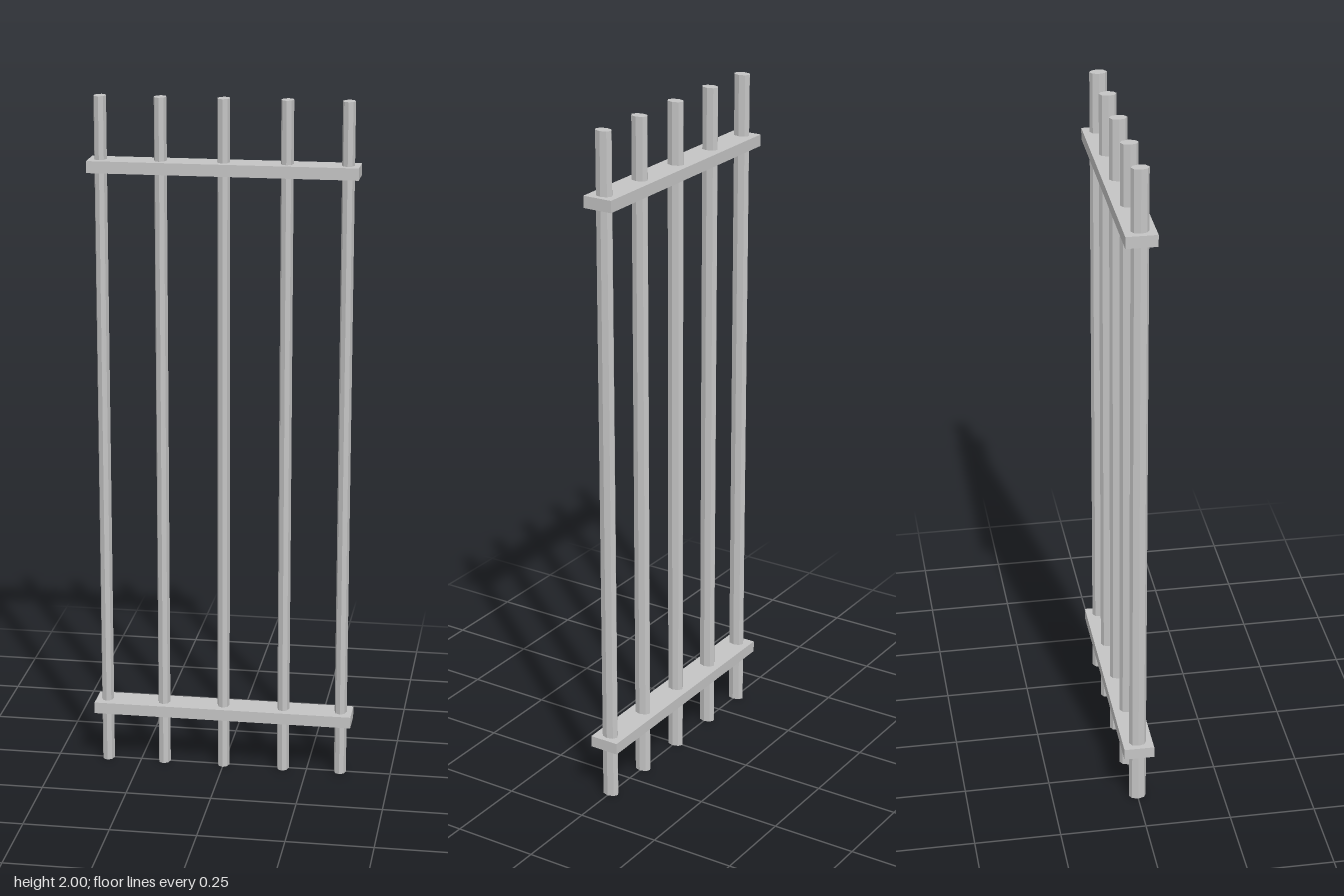
import * as THREE from 'three';

export function createModel() {
  const group = new THREE.Group();
  group.name = 'barredGrille';
  const metal = new THREE.MeshStandardMaterial({ color: 0xc4c4c4, flatShading: true });
  metal.name = 'light grey metal';

  // Upright bars: eight-sided, slightly deeper than wide
  const barGeometry = new THREE.CylinderGeometry(1, 1, 2, 8);
  barGeometry.scale(0.018, 1, 0.025);
  [-0.35, -0.179, 0, 0.179, 0.35].forEach((x, i) => {
    const bar = new THREE.Mesh(barGeometry, metal);
    bar.name = `bar${i + 1}`;
    bar.position.set(x, 1, 0);
    group.add(bar);
  });

  // Flat cross rails near both ends
  const railGeometry = new THREE.BoxGeometry(0.766, 0.034, 0.088);
  for (const [name, y] of [['lowerRail', 0.174], ['upperRail', 1.804]]) {
    const rail = new THREE.Mesh(railGeometry, metal);
    rail.name = name;
    rail.position.y = y;
    group.add(rail);
  }
  return group;
}
